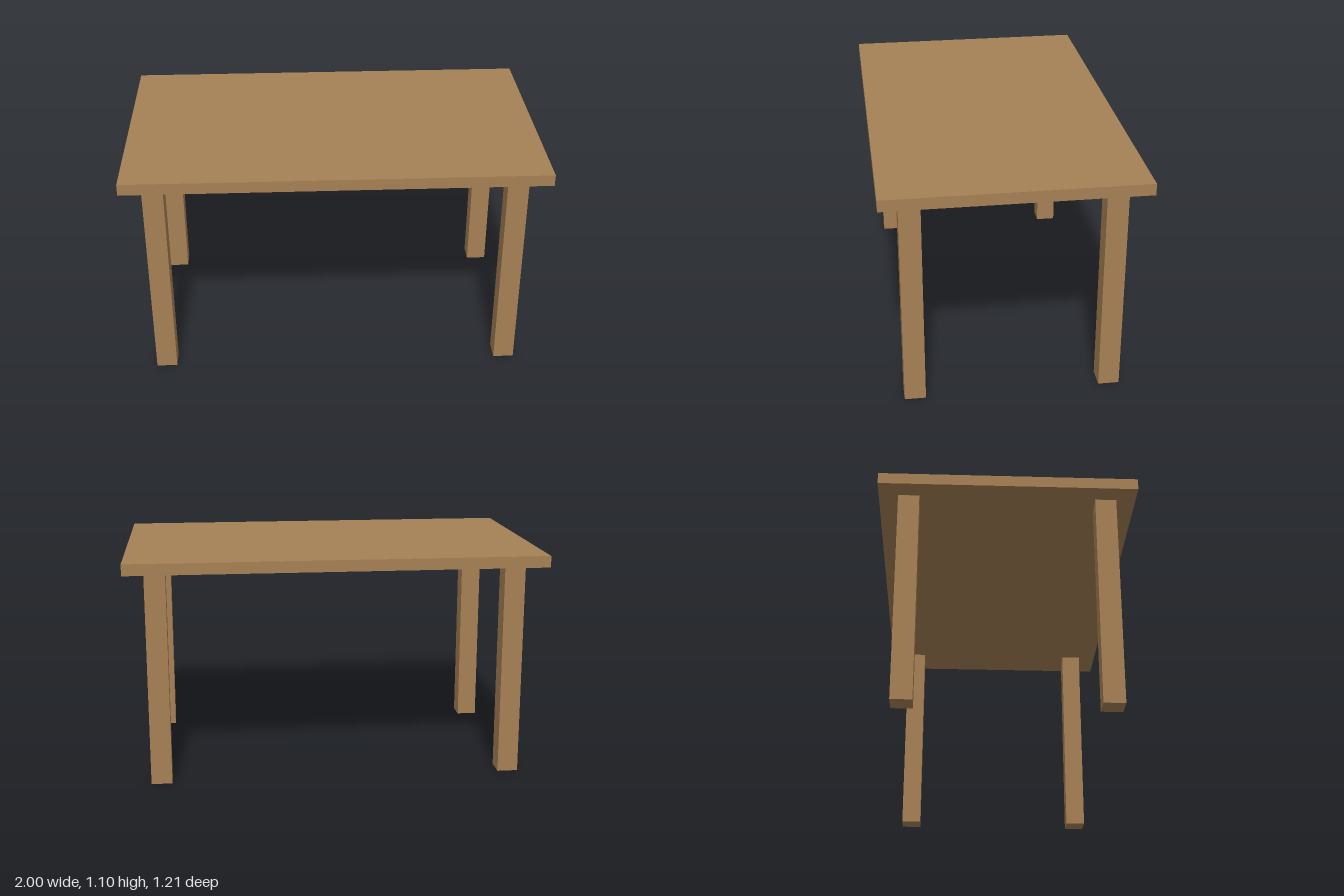
import * as THREE from 'three';

const TOP = { width: 2, height: 0.055, depth: 1.21 };
const LEG = { side: 0.1, height: 1.045, x: 0.855, z: 0.464 };

export function createModel() {
  const table = new THREE.Group();
  table.name = 'table';
  const wood = new THREE.MeshStandardMaterial({ color: 0xa58055 });

  // Flat rectangular slab resting on the legs
  const tabletop = new THREE.Mesh(new THREE.BoxGeometry(TOP.width, TOP.height, TOP.depth), wood);
  tabletop.name = 'tabletop';
  tabletop.position.y = LEG.height + TOP.height / 2;
  table.add(tabletop);

  // Four square legs, mirrored left/right and front/back
  const legGeometry = new THREE.BoxGeometry(LEG.side, LEG.height, LEG.side);
  for (const [endName, sz] of [['front', 1], ['back', -1]]) {
    for (const [sideName, sx] of [['Left', 1], ['Right', -1]]) {
      const leg = new THREE.Mesh(legGeometry, wood);
      leg.name = `${endName}${sideName}Leg`;
      leg.position.set(sx * LEG.x, LEG.height / 2, sz * LEG.z);
      table.add(leg);
    }
  }

  return table;
}
